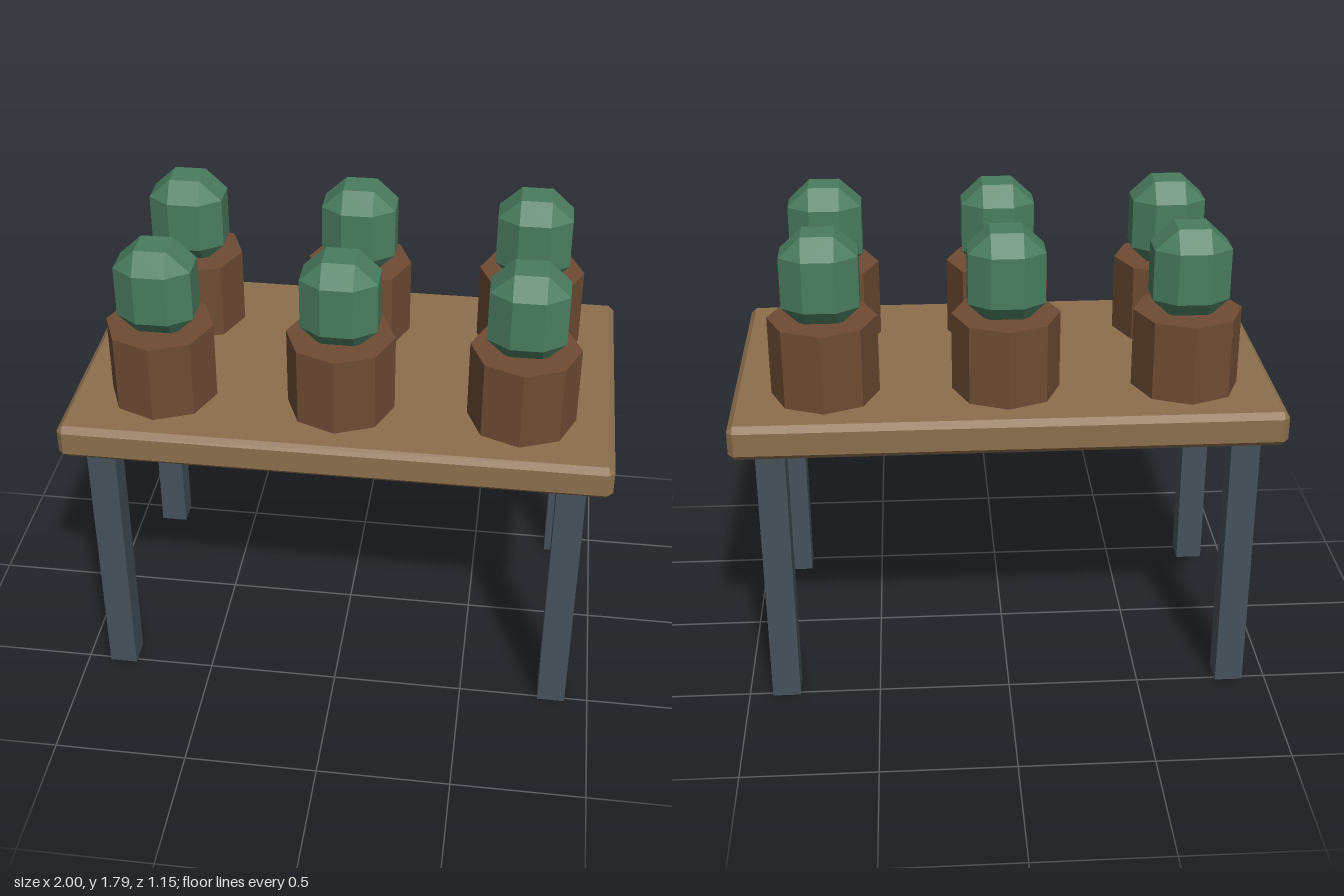
import * as THREE from 'three';
import { ConvexGeometry } from 'three/addons/geometries/ConvexGeometry.js';

const material = (color) => new THREE.MeshStandardMaterial({ color, flatShading: true });

// Box with every edge and corner cut off; half sizes and cut depth per axis
function chamferedBox(hx, hy, hz, cx, cy, cz) {
  const points = [];
  for (const x of [-1, 1]) for (const y of [-1, 1]) for (const z of [-1, 1]) {
    points.push(
      new THREE.Vector3(x * hx, y * (hy - cy), z * (hz - cz)),
      new THREE.Vector3(x * (hx - cx), y * hy, z * (hz - cz)),
      new THREE.Vector3(x * (hx - cx), y * (hy - cy), z * hz)
    );
  }
  return new ConvexGeometry(points);
}

export function createModel() {
  const model = new THREE.Group();
  model.name = 'plantTable';

  const wood = material(0x8b6f4e);
  const metal = material(0x455158);
  const clay = material(0x6e4c34);
  const green = material(0x4a7c60);

  const add = (parent, name, geometry, mat, x, y, z) => {
    const mesh = new THREE.Mesh(geometry, mat);
    mesh.name = name;
    mesh.position.set(x, y, z);
    parent.add(mesh);
  };

  // Table top with bevelled edges
  const bottom = 1.045, top = 1.176;
  add(model, 'tableTop', chamferedBox(1, (top - bottom) / 2, 0.576, 0.022, 0.022, 0.022),
    wood, 0, (top + bottom) / 2, 0);

  // Four square legs
  const legGeometry = new THREE.BoxGeometry(0.106, bottom, 0.106);
  for (const sx of [-1, 1]) for (const sz of [-1, 1]) {
    const name = (sz > 0 ? 'front' : 'back') + (sx > 0 ? 'Left' : 'Right') + 'Leg';
    add(model, name, legGeometry, metal, sx * 0.858, bottom / 2, sz * 0.463);
  }

  // Two rows of three potted cacti
  const potHeight = 0.296;
  const potGeometry = new THREE.CylinderGeometry(0.198, 0.198, potHeight, 8);
  const cactusGeometry = chamferedBox(0.139, 0.169, 0.116, 0.081, 0.075, 0.059);
  for (const z of [-0.278, 0.278]) for (const x of [-0.661, 0, 0.661]) {
    const plant = new THREE.Group();
    plant.name = 'pottedCactus';
    plant.position.set(x, top, z);
    add(plant, 'pot', potGeometry, clay, 0, potHeight / 2, 0);
    add(plant, 'cactus', cactusGeometry, green, 0, 0.445, 0);
    model.add(plant);
  }

  return model;
}
